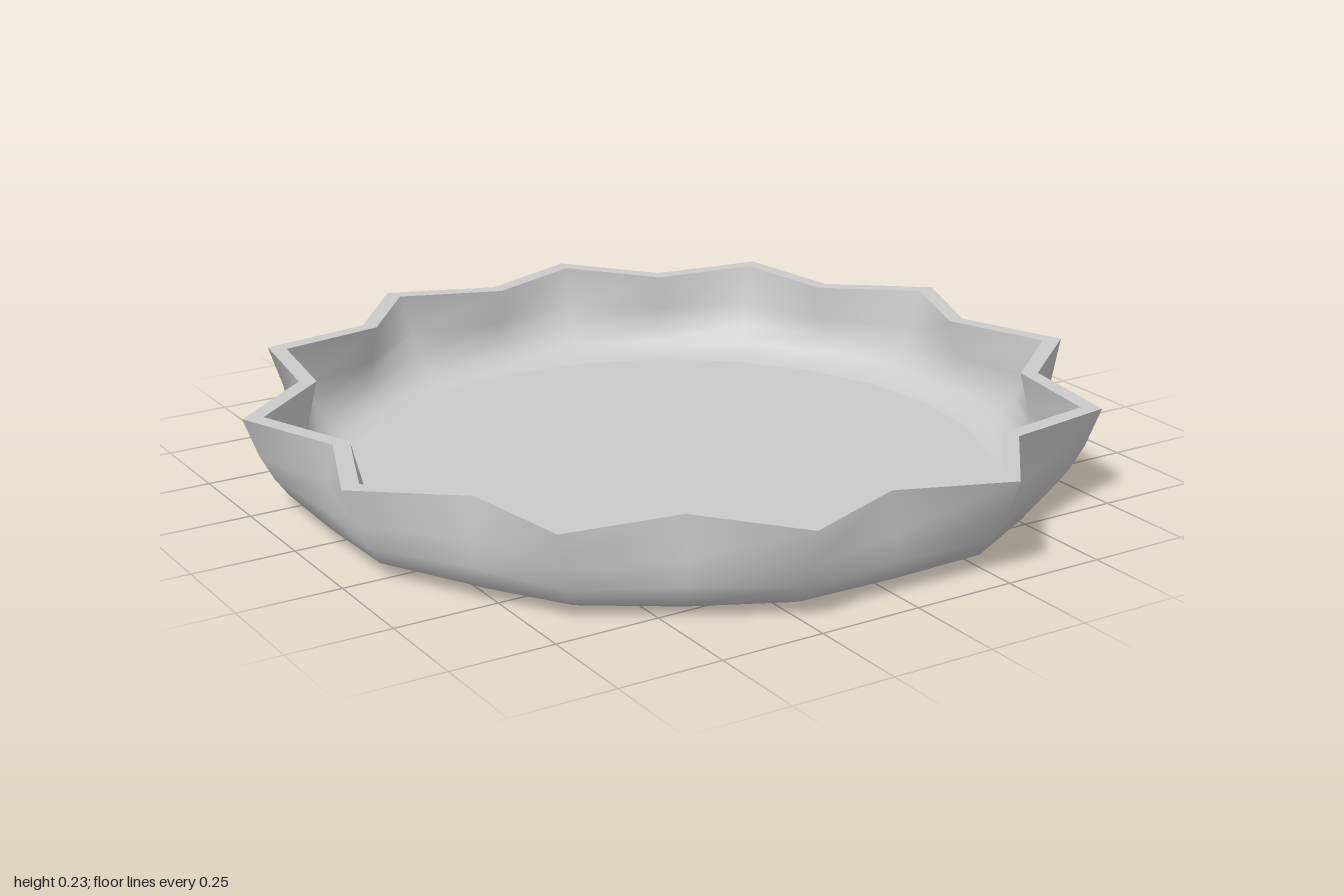
import * as THREE from 'three';

const POINTS = 12;          // points of the star-shaped rim
const SIDES = POINTS * 2;   // alternating valleys and peaks

// Skin through rings of [peak radius, valley radius, height]; smooth inside one skin
function skin(name, rings) {
  const pos = [], index = [];
  for (const [peak, valley, y] of rings) {
    for (let i = 0; i < SIDES; i++) {
      const a = (i / SIDES) * Math.PI * 2;
      const r = i % 2 ? peak : valley;
      pos.push(r * Math.sin(a), y, r * Math.cos(a));
    }
  }
  for (let k = 0; k < rings.length - 1; k++) {
    for (let i = 0; i < SIDES; i++) {
      const j = (i + 1) % SIDES;
      const a = k * SIDES + i, b = k * SIDES + j;
      const c = b + SIDES, d = a + SIDES;
      index.push(a, b, c, a, c, d);
    }
  }
  const geometry = new THREE.BufferGeometry();
  geometry.setAttribute('position', new THREE.Float32BufferAttribute(pos, 3));
  geometry.setIndex(index);
  geometry.computeVertexNormals();
  const mesh = new THREE.Mesh(geometry, new THREE.MeshStandardMaterial({ color: 0xcccccc }));
  mesh.name = name;
  return mesh;
}

// Flat round disc at height y, facing up or down
function disc(name, radius, y, up) {
  const geometry = new THREE.CircleGeometry(radius, SIDES);
  geometry.rotateX(up ? -Math.PI / 2 : Math.PI / 2);
  const mesh = new THREE.Mesh(geometry, new THREE.MeshStandardMaterial({ color: 0xcccccc }));
  mesh.position.y = y;
  mesh.name = name;
  return mesh;
}

export function createModel() {
  const dish = new THREE.Group();
  dish.name = 'dish';

  // Outside wall, round at the foot and flaring into points
  const outer = [
    [0.81, 0.81, 0], [0.87, 0.855, 0.006], [0.935, 0.91, 0.035],
    [0.968, 0.92, 0.08], [1.0, 0.915, 0.14], [1.035, 0.895, 0.235],
  ];
  // Inside wall, from the rim down to the floor
  const inner = [
    [0.985, 0.853, 0.235], [0.945, 0.875, 0.14], [0.915, 0.88, 0.09],
    [0.88, 0.862, 0.05], [0.84, 0.83, 0.028], [0.79, 0.79, 0.02],
  ];

  dish.add(
    disc('base', 0.81, 0, false),
    skin('outerWall', outer),
    skin('rim', [outer[outer.length - 1], inner[0]]),
    skin('innerWall', inner),
    disc('floor', 0.79, 0.02, true),
  );
  return dish;
}
